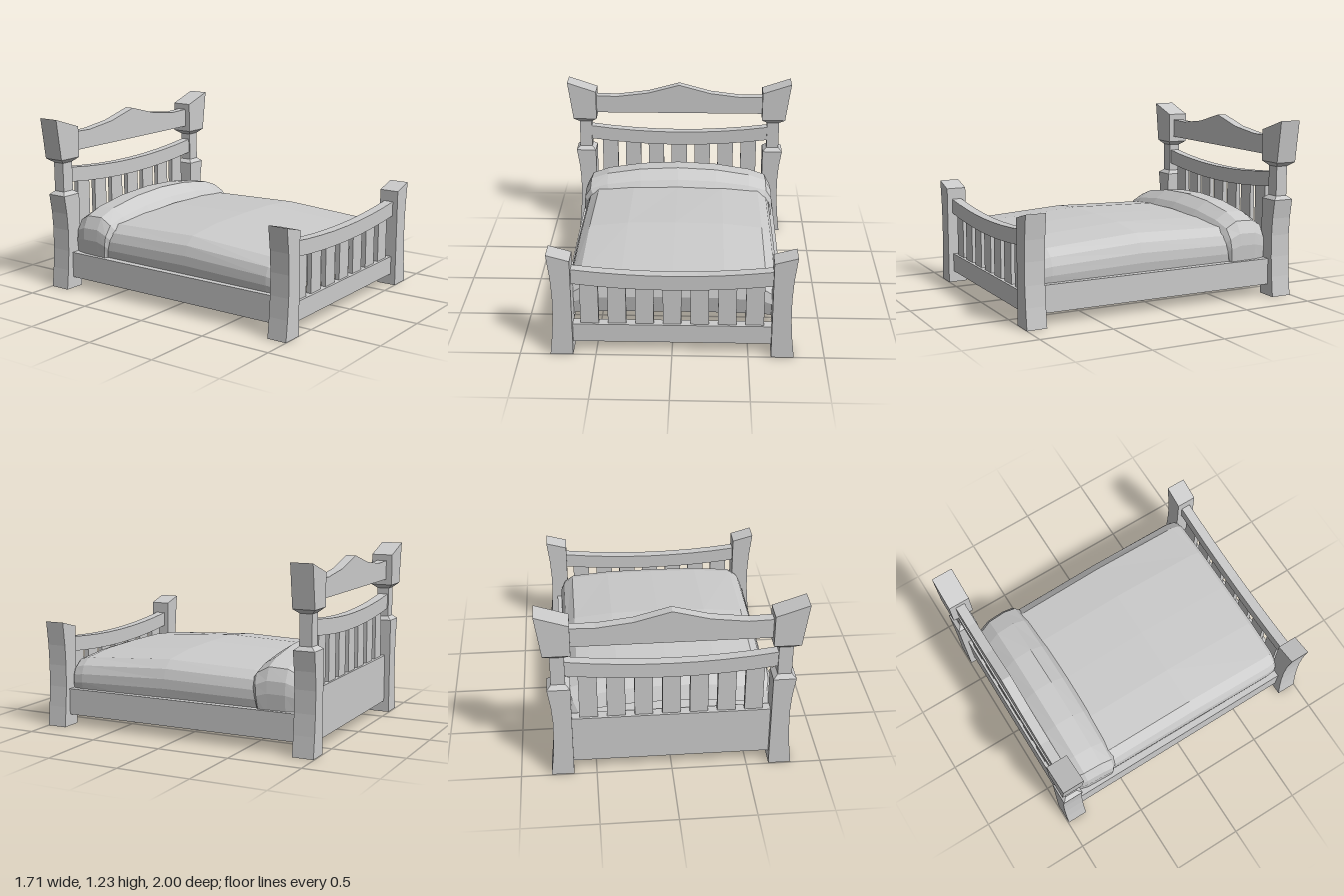
import * as THREE from 'three';

const material = new THREE.MeshStandardMaterial({ color: 0xcccccc, flatShading: true });
const clothMaterial = new THREE.MeshStandardMaterial({ color: 0xcccccc, flatShading: true, side: THREE.DoubleSide });

function add(group, name, geometry, surface = material) {
  const mesh = new THREE.Mesh(geometry, surface);
  mesh.name = name;
  group.add(mesh);
}

// Axis-aligned box from its limits
function block(x0, x1, y0, y1, z0, z1) {
  return new THREE.BoxGeometry(x1 - x0, y1 - y0, z1 - z0)
    .translate((x0 + x1) / 2, (y0 + y1) / 2, (z0 + z1) / 2);
}

// Front outline extruded from z0 to z1; side = -1 mirrors it in x
function plate(points, z0, z1, side = 1) {
  const shape = new THREE.Shape(points.map(([x, y]) => new THREE.Vector2(x * side, y)));
  return new THREE.ExtrudeGeometry(shape, { depth: z1 - z0, bevelEnabled: false }).translate(0, 0, z0);
}

// Box whose bottom and top rectangles differ: [x0, x1, z0, z1]
function frustum(bottom, top, y0, y1, side) {
  const geometry = new THREE.BoxGeometry(1, 1, 1);
  const p = geometry.attributes.position;
  for (let i = 0; i < p.count; i++) {
    const r = p.getY(i) > 0 ? top : bottom;
    const outer = p.getX(i) * side > 0;
    p.setXYZ(i, side * (outer ? r[1] : r[0]), p.getY(i) > 0 ? y1 : y0, p.getZ(i) > 0 ? r[3] : r[2]);
  }
  geometry.computeVertexNormals();
  return geometry;
}

// Sagging rail: parabolic top and bottom edges, lower in the middle
function saggingRail(half, yEnd, sag, height, z0, z1) {
  const top = [], bottom = [];
  for (let i = 0; i <= 8; i++) {
    const t = i / 4 - 1;
    const y = yEnd - sag * (1 - t * t);
    top.push([t * half, y]);
    bottom.unshift([t * half, y - height]);
  }
  return plate([...top, ...bottom], z0, z1);
}

// Cloth cross-sections, top centre to side hem: [share of half width, share of height]
const blanketSection = [[0, 1], [0.48, 0.985], [0.87, 0.9], [0.96, 0.74], [0.995, 0.55], [1, 0.36], [0.97, 0]];
const pillowSection = [[0, 1], [0.4, 0.965], [0.75, 0.87], [0.93, 0.76], [0.99, 0.56], [1, 0.36], [0.98, 0]];

// Open draped shell through stations [z, half width, top, backward lean of the hem], front to back
function drape(halfSection, stations, hem) {
  const section = [
    ...halfSection.slice(1).reverse().map(([x, h]) => [-x, h]),
    ...halfSection,
  ];
  const n = section.length, positions = [], index = [];
  for (const [z, w, top, lean = 0] of stations) {
    for (const [x, h] of section) {
      positions.push(x * w, hem + h * (top - hem), z - lean * (1 - h));
    }
  }
  for (let i = 0; i < stations.length - 1; i++) {
    for (let k = 0; k < n - 1; k++) {
      const a = i * n + k;
      index.push(a, a + 1, a + n + 1, a, a + n + 1, a + n);
    }
  }
  const geometry = new THREE.BufferGeometry();
  geometry.setAttribute('position', new THREE.Float32BufferAttribute(positions, 3));
  geometry.setIndex(index);
  const flat = geometry.toNonIndexed();
  flat.computeVertexNormals();
  return flat;
}

export function createModel() {
  const bed = new THREE.Group();
  bed.name = 'bed';
  const headboard = new THREE.Group();
  headboard.name = 'headboard';
  const footboard = new THREE.Group();
  footboard.name = 'footboard';
  const bedding = new THREE.Group();
  bedding.name = 'bedding';
  bed.add(headboard, footboard, bedding);

  const neckRect = [0.68, 0.772, -0.965, -0.88];
  const capRect = [0.638, 0.815, -1, -0.85];

  for (const side of [1, -1]) {
    // Footboard post with waisted outer edge and slanted top
    add(footboard, 'footPost', plate(
      [[0.65, 0], [0.8, 0], [0.784, 0.14], [0.774, 0.28], [0.772, 0.43], [0.78, 0.57], [0.8, 0.735], [0.65, 0.693]],
      0.862, 1, side));

    // Headboard post: lower leg, shoulder, neck, flared cap
    add(headboard, 'headPostLeg', plate(
      [[0.65, 0], [0.8, 0], [0.784, 0.14], [0.774, 0.28], [0.772, 0.43], [0.78, 0.55], [0.8, 0.68], [0.65, 0.68]],
      -0.995, -0.85, side));
    add(headboard, 'headPostShoulder', frustum([0.65, 0.8, -0.995, -0.85], neckRect, 0.68, 0.705, side));
    add(headboard, 'headPostNeck', frustum(neckRect, neckRect, 0.69, 0.93, side));
    add(headboard, 'headPostCapBase', frustum(neckRect, capRect, 0.91, 0.94, side));
    add(headboard, 'headPostCap', plate(
      [[0.638, 0.94], [0.815, 0.94], [0.855, 1.23], [0.638, 1.157]], -1, -0.85, side));

    // Side rail
    const rail = side > 0 ? [0.675, 0.735] : [-0.735, -0.675];
    add(bed, 'sideRail', block(...rail, 0.08, 0.262, -0.86, 0.875));
  }

  // Headboard rails and panel
  const crest = [[0.65, 1.115], [0.48, 1.11], [0.24, 1.14]];
  add(headboard, 'crestRail', plate([
    [-0.65, 0.98], [0.65, 0.98], ...crest, [0, 1.205],
    ...crest.slice().reverse().map(([x, y]) => [-x, y]),
  ], -0.957, -0.89));
  add(headboard, 'headRail', saggingRail(0.685, 0.868, 0.047, 0.105, -0.957, -0.89));
  add(headboard, 'headPanel', block(-0.66, 0.66, 0.08, 0.42, -0.957, -0.89));

  // Footboard rails
  add(footboard, 'footTopRail', saggingRail(0.655, 0.615, 0.04, 0.103, 0.895, 0.963));
  add(footboard, 'footBottomRail', block(-0.66, 0.66, 0.08, 0.21, 0.895, 0.963));

  // Seven slats at each end
  for (let i = -3; i <= 3; i++) {
    const x = i * 0.18;
    add(headboard, 'headSlat', block(x - 0.06, x + 0.06, 0.4, 0.77, -0.94, -0.907));
    add(footboard, 'footSlat', block(x - 0.06, x + 0.06, 0.2, 0.52, 0.912, 0.945));
  }

  // Blanket: an open shell hanging over the sides and tucked in at the foot
  add(bedding, 'blanket', drape(blanketSection, [
    [0.855, 0.665, 0.25], [0.887, 0.67, 0.378, 0.03], [0.872, 0.685, 0.46, 0.02], [0.845, 0.697, 0.482],
    [0.78, 0.705, 0.502], [0.13, 0.7, 0.545], [-0.5, 0.695, 0.525], [-0.8, 0.69, 0.5], [-0.87, 0.67, 0.4],
  ], 0.2), clothMaterial);

  // Pillow roll covering the head end
  add(bedding, 'pillow', drape(pillowSection, [
    [-0.5, 0.7, 0.53, 0.065], [-0.535, 0.72, 0.575, 0.04], [-0.625, 0.718, 0.635, 0.015],
    [-0.76, 0.712, 0.627], [-0.84, 0.69, 0.57], [-0.885, 0.65, 0.48],
  ], 0.22), clothMaterial);

  return bed;
}
